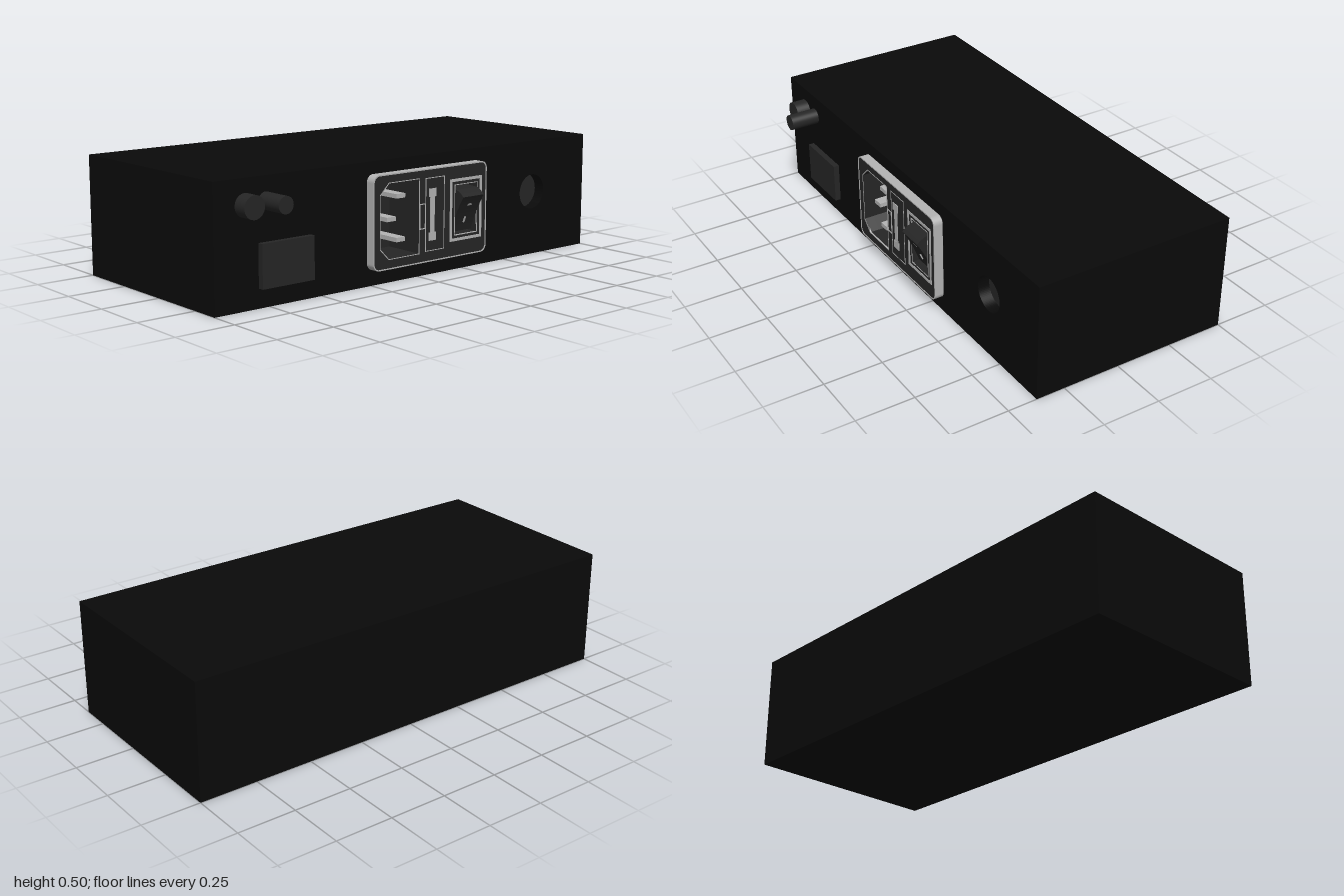
import * as THREE from 'three';

const mat = (color) => new THREE.MeshStandardMaterial({ color, side: THREE.DoubleSide });
const black = mat(0x0a0a0a);
const dark = mat(0x262626);
const light = mat(0xb4b4b4);

const FRONT = 0.375; // z of the case front
const FACE = 0.418;  // z of the inlet face

// Rectangle as points, with optional corner cuts on the -x side
function rectPoints(x0, x1, y0, y1, cut = 0) {
  const p = [[x1, y0], [x1, y1]];
  if (cut) p.push([x0 + cut, y1], [x0, y1 - cut], [x0, y0 + cut], [x0 + cut, y0]);
  else p.push([x0, y1], [x0, y0]);
  return p.map(([x, y]) => new THREE.Vector2(x, y));
}

// Rectangle with rounded corners as points
function roundPoints(x0, x1, y0, y1, r) {
  const s = new THREE.Shape();
  s.absarc(x1 - r, y1 - r, r, 0, Math.PI / 2);
  s.absarc(x0 + r, y1 - r, r, Math.PI / 2, Math.PI);
  s.absarc(x0 + r, y0 + r, r, Math.PI, Math.PI * 1.5);
  s.absarc(x1 - r, y0 + r, r, Math.PI * 1.5, Math.PI * 2);
  return s.getPoints(8);
}

function circlePoints(x, y, r) {
  return new THREE.Path().absarc(x, y, r, 0, Math.PI * 2).getPoints(40);
}

export function createModel() {
  const model = new THREE.Group();

  function add(parent, name, geometry, material, x = 0, y = 0, z = 0) {
    const mesh = new THREE.Mesh(geometry, material);
    mesh.name = name;
    mesh.position.set(x, y, z);
    parent.add(mesh);
    return mesh;
  }
  // Box given by its limits
  function box(parent, name, material, x0, x1, y0, y1, z0, z1) {
    return add(parent, name, new THREE.BoxGeometry(x1 - x0, y1 - y0, z1 - z0), material,
      (x0 + x1) / 2, (y0 + y1) / 2, (z0 + z1) / 2);
  }
  // Outline with holes, pushed from z0 to z1
  function plate(parent, name, material, outline, holes, z0, z1) {
    const shape = new THREE.Shape(outline);
    shape.holes = holes.map((h) => new THREE.Path(h));
    const geometry = new THREE.ExtrudeGeometry(shape, { depth: z1 - z0, bevelEnabled: false });
    return add(parent, name, geometry, material, 0, 0, z0);
  }
  // Cylinder along z
  function rod(parent, name, material, x, y, r, z0, z1) {
    const geometry = new THREE.CylinderGeometry(r, r, z1 - z0, 40).rotateX(Math.PI / 2);
    return add(parent, name, geometry, material, x, y, (z0 + z1) / 2);
  }

  // Case, with openings in the front for the inlet and the round jack
  const enclosure = new THREE.Group();
  enclosure.name = 'case';
  model.add(enclosure);
  box(enclosure, 'caseRear', black, -1, 1, 0, 0.5, -0.5, 0.2);
  plate(enclosure, 'caseFront', black, rectPoints(-1, 1, 0, 0.5),
    [rectPoints(-0.255, 0.325, 0.085, 0.43), circlePoints(0.67, 0.277, 0.075)], 0.2, FRONT);

  // Controls and jack
  rod(model, 'largeKnob', dark, -0.858, 0.398, 0.046, FRONT - 0.02, 0.436);
  rod(model, 'smallKnob', dark, -0.764, 0.405, 0.034, FRONT - 0.02, 0.5);
  box(model, 'connectorBlock', dark, -0.8, -0.555, 0.077, 0.25, FRONT - 0.02, 0.4);
  rod(model, 'jackFloor', dark, 0.67, 0.277, 0.075, 0.3, 0.325);

  // Power inlet: light bezel around a dark face with two openings
  const inlet = new THREE.Group();
  inlet.name = 'powerInlet';
  model.add(inlet);
  const socketHole = rectPoints(-0.24, -0.035, 0.108, 0.412, 0.045);
  const switchHole = rectPoints(0.165, 0.29, 0.158, 0.365);
  plate(inlet, 'bezel', light, roundPoints(-0.277, 0.345, 0.066, 0.45, 0.03),
    [roundPoints(-0.272, 0.34, 0.071, 0.445, 0.026)], 0.38, 0.42);
  plate(inlet, 'inletFace', dark, roundPoints(-0.273, 0.341, 0.07, 0.446, 0.027),
    [socketHole, switchHole], 0.376, FACE);
  plate(inlet, 'inletHousing', dark, rectPoints(-0.255, 0.325, 0.085, 0.43),
    [socketHole, switchHole], 0.24, 0.38);
  box(inlet, 'inletFloor', dark, -0.255, 0.325, 0.085, 0.43, 0.21, 0.24);

  // Thin light edge lines
  plate(inlet, 'socketEdge', light, rectPoints(-0.243, -0.032, 0.105, 0.415, 0.046),
    [socketHole], FACE - 0.005, FACE + 0.001);
  plate(inlet, 'fuseEdge', light, rectPoints(0, 0.105, 0.11, 0.412),
    [rectPoints(0.003, 0.102, 0.113, 0.409)], FACE - 0.005, FACE + 0.001);
  plate(inlet, 'fuseTabEdge', light, rectPoints(-0.032, 0.001, 0.205, 0.31),
    [rectPoints(-0.028, -0.003, 0.209, 0.306)], FACE - 0.005, FACE + 0.002);

  // Contact pins
  for (const [x, y] of [[-0.112, 0.35], [-0.162, 0.261], [-0.112, 0.173]]) {
    box(inlet, 'contactPin', light, x - 0.023, x + 0.023, y - 0.009, y + 0.009, 0.23, 0.395);
  }

  // Fuse drawer latch: a bar with two wider ends
  box(inlet, 'fuseLatchBar', light, 0.026, 0.05, 0.17, 0.355, FACE - 0.005, FACE + 0.002);
  for (const y of [0.17, 0.35]) {
    box(inlet, 'fuseLatchEnd', light, 0.018, 0.058, y - 0.017, y + 0.017, FACE - 0.005, FACE + 0.003);
  }

  // Switch frame
  plate(inlet, 'switchFrame', light, rectPoints(0.136, 0.318, 0.132, 0.392),
    [rectPoints(0.148, 0.306, 0.144, 0.38)], FACE - 0.005, FACE + 0.002);
  plate(inlet, 'switchInnerEdge', light, rectPoints(0.162, 0.293, 0.155, 0.368),
    [switchHole], FACE - 0.005, FACE + 0.001);

  // Rocker: side profile in (z, y), swept across x
  const profile = new THREE.Shape();
  profile.moveTo(0.3, 0.17);
  profile.lineTo(0.39, 0.165);
  profile.quadraticCurveTo(0.418, 0.25, 0.463, 0.32);
  profile.quadraticCurveTo(0.45, 0.335, 0.423, 0.346);
  profile.lineTo(0.3, 0.352);
  const rocker = new THREE.ExtrudeGeometry(profile, { depth: 0.117, bevelEnabled: false, curveSegments: 12 });
  rocker.rotateY(-Math.PI / 2);
  // The sweep now runs toward -x with the profile's first axis along +z
  add(inlet, 'rocker', rocker, dark, 0.286, 0, 0);

  // Indicator marks on the rocker
  const dot = rod(inlet, 'rockerDot', light, 0.227, 0.277, 0.015, 0.427, 0.437);
  dot.rotation.x = 0.52;
  const bar = box(inlet, 'rockerBar', light, 0.224, 0.231, 0.202, 0.228, 0.405, 0.413);
  bar.rotation.x = 0.4;

  return model;
}
